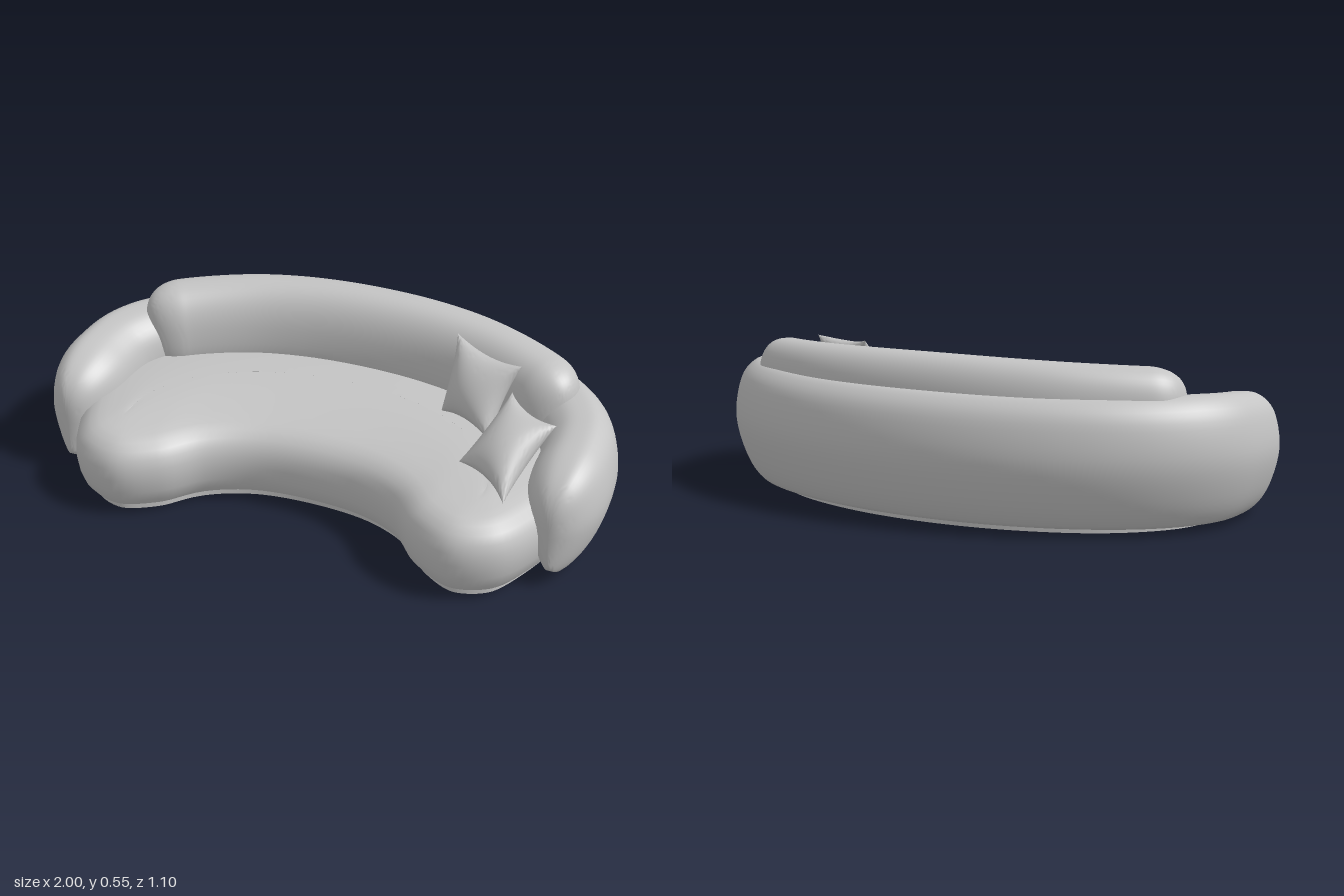
import * as THREE from 'three';
import { toCreasedNormals } from 'three/addons/utils/BufferGeometryUtils.js';

const V = (x, y, z) => new THREE.Vector3(x, y, z);

// Skin a list of equal-length closed rings; the winding is set so faces look outward.
function loft(rings, crease = 0.9) {
  const n = rings[0].length;
  const flat = rings.flat();
  const index = [];
  let volume = 0;
  const tri = (a, b, c) => {
    index.push(a, b, c);
    volume += flat[a].dot(V(0, 0, 0).crossVectors(flat[b], flat[c]));
  };
  for (let i = 0; i < rings.length - 1; i++) {
    for (let j = 0; j < n; j++) {
      const a = i * n + j, b = i * n + ((j + 1) % n);
      tri(a, b, b + n);
      tri(a, b + n, a + n);
    }
  }
  if (volume < 0) index.reverse();
  const g = new THREE.BufferGeometry().setFromPoints(flat);
  g.setIndex(index);
  return toCreasedNormals(g, crease);
}

// Curve in plan, mirrored from its right half [x, z], which starts at the centre.
function mirroredCurve(half, closed = false) {
  const right = half.map(([x, z]) => V(x, 0, z));
  const left = half.slice(1, closed ? -1 : undefined).map(([x, z]) => V(-x, 0, z)).reverse();
  return new THREE.CatmullRomCurve3(closed ? [...right, ...left] : [...left, ...right], closed);
}

// Sweep an upright section along a plan curve, with domed ends.
function sweep(curve, section, { halfWidth, bottom, topAt, cap, pivot, capPower }) {
  const length = curve.getLength(), steps = 120, rings = [];
  for (let i = 0; i <= steps; i++) {
    const t = (1 - Math.cos((Math.PI * i) / steps)) / 2;
    const p = curve.getPointAt(t), d = curve.getTangentAt(t);
    const q = Math.min(1, (Math.min(t, 1 - t) * length) / cap);
    const k = Math.sqrt(Math.max(0, 1 - (1 - q) ** 2));
    const top = topAt(p);
    rings.push(section.map(([s, h]) => {
      const y = bottom + h * (top - bottom);
      const off = s * halfWidth * k;
      // The lower half stays fuller than the upper half toward the ends
      const ky = k ** (y < pivot ? capPower * 0.45 : capPower);
      return V(p.x + d.z * off, pivot + (y - pivot) * ky, p.z - d.x * off);
    }));
  }
  return loft(rings);
}

// Cushion with pinched corners, stretched between four corner points.
function pillowGeometry(bl, br, tl, tr, thick) {
  const normal = V(0, 0, 0).crossVectors(br.clone().sub(bl), tl.clone().sub(bl)).normalize();
  const rings = [];
  for (let i = 0; i <= 28; i++) {
    const v = -Math.cos((Math.PI * i) / 28), ring = [];
    for (let j = 0; j < 56; j++) {
      const a = (2 * Math.PI * j) / 56, u = Math.cos(a);
      const pu = 0.5 + 0.5 * u * (1 - 0.16 * (1 - v * v));
      const pv = 0.5 + 0.5 * v * (1 - 0.16 * (1 - u * u));
      const low = bl.clone().lerp(br, pu), high = tl.clone().lerp(tr, pu);
      const puff = thick * Math.sin(a) * Math.sqrt(Math.max(0, 1 - v * v));
      ring.push(low.lerp(high, pv).addScaledVector(normal, puff));
    }
    rings.push(ring);
  }
  return loft(rings, 0.8);
}

export function createModel() {
  const group = new THREE.Group();
  const fabric = new THREE.MeshStandardMaterial({ color: 0xc4c4c4 });
  fabric.name = 'grey fabric';
  const add = (name, geometry) => {
    const mesh = new THREE.Mesh(geometry, fabric);
    mesh.name = name;
    group.add(mesh);
  };

  // Kidney-shaped plan shared by the seat and plinth
  const outline = mirroredCurve([
    [0, 0.275], [0.2, 0.297], [0.34, 0.365], [0.45, 0.48], [0.6, 0.55], [0.75, 0.495],
    [0.84, 0.34], [0.9, 0.1], [0.84, -0.13], [0.64, -0.325], [0.34, -0.445], [0, -0.485],
  ], true);
  const count = 180;
  const plan = Array.from({ length: count }, (_, i) => {
    const p = outline.getPointAt(i / count), d = outline.getTangentAt(i / count);
    // Matching position along the middle line: 0 at the centre, 1 in the lobe
    const h = Math.min(i, count - i) / (count / 2);
    const along = h < 0.3 ? h / 0.3 : (1 - h) / 0.7;
    const angle = (along * Math.PI) / 2, sign = i < count / 2 ? 1 : -1;
    const spine = V(sign * 0.64 * Math.sin(angle), 0, 0.31 - 0.41 * Math.cos(angle));
    return { p, nx: d.z, nz: -d.x, along, spine };
  });
  const insetRing = (inset, y) => plan.map(({ p, nx, nz }) => V(p.x + nx * inset, y, p.z + nz * inset));
  // Pull a ring toward the curved middle line, raising it most at the centre
  const toSpine = (ring, f, rise) => ring.map((p, i) => {
    const { spine, along } = plan[i];
    const y = p.y + rise * (1 - 0.6 * along * along);
    return V(p.x + (spine.x - p.x) * f, y, p.z + (spine.z - p.z) * f);
  });

  // Seat: bulging side, rounded rim and slightly crowned top
  const side = [[0.04, 0.033], [0.02, 0.06], [0.007, 0.1], [0, 0.15], [0.002, 0.19], [0.012, 0.225],
    [0.03, 0.25], [0.055, 0.27], [0.085, 0.282]].map(([s, y]) => insetRing(s, y));
  const rim = side[side.length - 1];
  const crown = [0.2, 0.4, 0.6, 0.8, 1].map((f) => toSpine(rim, f, 0.036 * Math.sin((f * Math.PI) / 2)));
  add('seat', loft([toSpine(side[0], 1, 0), ...side, ...crown]));

  // Plinth: low hollow band under the seat
  add('plinth', loft([[0.063, 0.04], [0.063, 0], [0.077, 0], [0.077, 0.04], [0.063, 0.04]]
    .map(([s, y]) => insetRing(s, y))));

  // Wraparound back and arms, following half an ellipse
  const shellProfile = new THREE.CatmullRomCurve3([
    [0.36, 0], [0.78, 0.22], [1, 0.53], [0.84, 0.83], [0.46, 0.98], [0, 1], [-0.5, 0.95],
    [-0.9, 0.79], [-1, 0.55], [-0.85, 0.3], [-0.45, 0.1], [-0.1, 0],
  ].map(([s, h]) => V(s, h, 0)), true).getPoints(56).slice(0, -1).map((p) => [p.x, Math.max(0, p.y)]);
  const shellPath = Array.from({ length: 9 }, (_, i) => {
    const a = (i * Math.PI) / 16;
    return [0.87 * Math.sin(a), 0.07 - 0.49 * Math.cos(a)];
  });
  add('backAndArms', sweep(
    mirroredCurve([...shellPath, [0.872, 0.21], [0.87, 0.357]]),
    shellProfile,
    {
      halfWidth: 0.13, bottom: 0.025, cap: 0.22, pivot: 0.19, capPower: 0.6,
      topAt: (p) => 0.442 - 0.03 * THREE.MathUtils.smoothstep(p.z, -0.15, 0.3),
    },
  ));

  // Back cushion: rounded bolster following the curve, leaning back a little
  const bolster = Array.from({ length: 48 }, (_, i) => {
    const a = (2 * Math.PI * i) / 48;
    const soft = (x) => Math.sign(x) * Math.abs(x) ** 0.85;
    const h = 0.5 + 0.5 * soft(Math.sin(a));
    return [soft(Math.cos(a)) + 0.25 * (h - 0.6), h];
  });
  add('backCushion', sweep(
    mirroredCurve([[0, -0.345], [0.25, -0.328], [0.45, -0.28], [0.66, -0.18], [0.785, -0.085]]),
    bolster,
    {
      halfWidth: 0.112, bottom: 0.2, cap: 0.13, pivot: 0.36, capPower: 0.5,
      topAt: (p) => 0.552 - 0.045 * p.x * p.x,
    },
  ));

  // Two loose pillows on the left side
  add('backPillow', pillowGeometry(
    V(0.355, 0.31, -0.06), V(0.56, 0.31, 0.05), V(0.36, 0.545, -0.19), V(0.625, 0.535, -0.08), 0.065));
  add('frontPillow', pillowGeometry(
    V(0.515, 0.31, 0.21), V(0.715, 0.29, 0.355), V(0.61, 0.46, -0.03), V(0.805, 0.46, 0.11), 0.065));

  return group;
}
